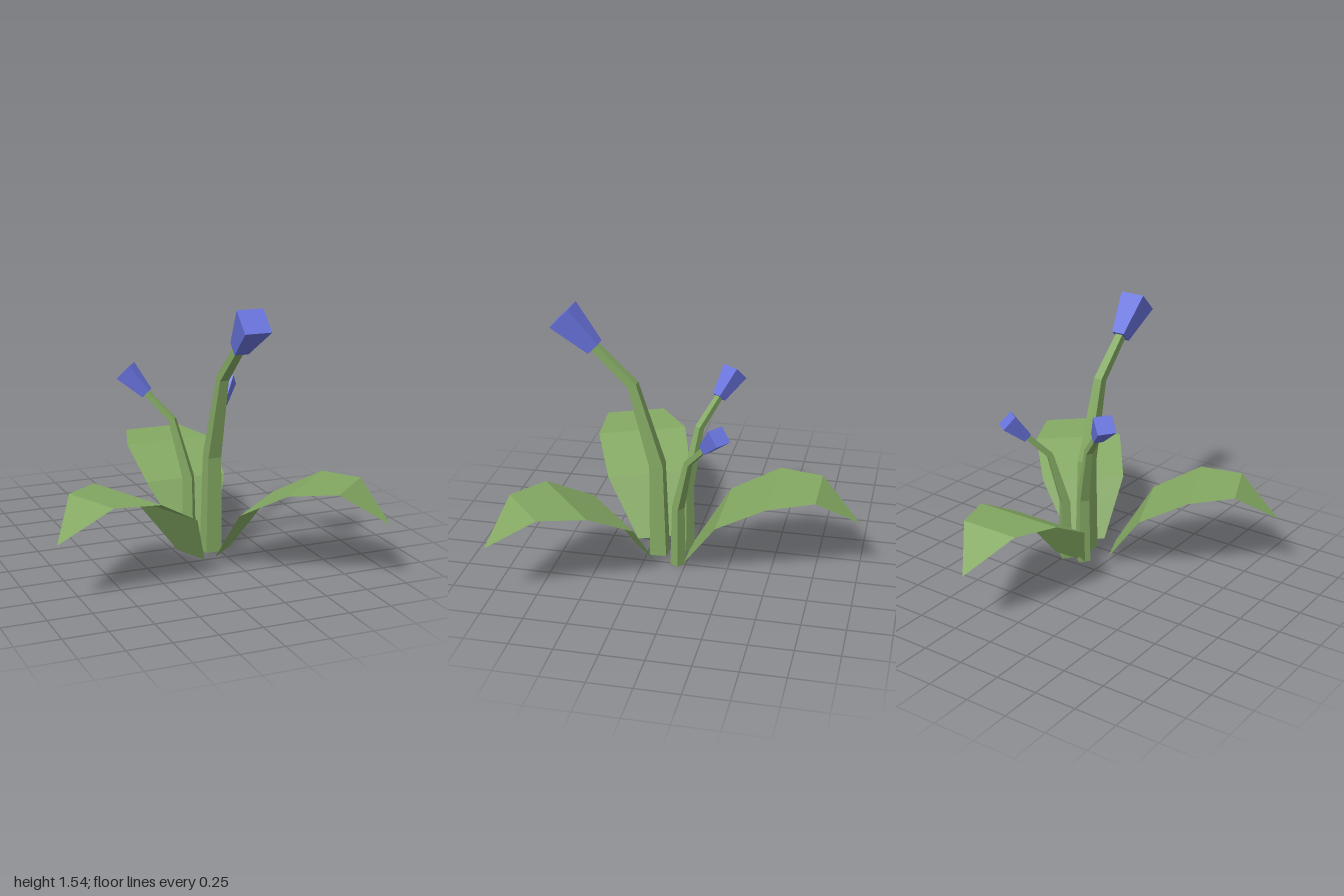
import * as THREE from 'three';

const green = new THREE.MeshStandardMaterial({ color: 0x83a862, flatShading: true });
green.name = 'leaf green';
const leafGreen = green.clone();
leafGreen.name = 'leaf green sheet';
leafGreen.side = THREE.DoubleSide;
const blue = new THREE.MeshStandardMaterial({ color: 0x6873dc, flatShading: true });
blue.name = 'petal blue';

function makeGeometry(positions, index) {
  const indexed = new THREE.BufferGeometry();
  indexed.setAttribute('position', new THREE.Float32BufferAttribute(positions, 3));
  indexed.setIndex(index);
  const g = indexed.toNonIndexed();
  g.computeVertexNormals();
  return g;
}

// Capped square tube; each ring is [z, y, half width, lean in degrees towards +z]
function squareLoft(rings) {
  const pos = [], index = [];
  for (const [z, y, h, lean] of rings) {
    const a = THREE.MathUtils.degToRad(lean);
    for (const [u, v] of [[1, 1], [1, -1], [-1, -1], [-1, 1]]) {
      pos.push(u * h, y - v * h * Math.sin(a), z + v * h * Math.cos(a));
    }
  }
  for (let r = 0; r < rings.length - 1; r++) {
    for (let k = 0; k < 4; k++) {
      const a = r * 4 + k, b = r * 4 + (k + 1) % 4;
      index.push(a, b, b + 4, a, b + 4, a + 4);
    }
  }
  const t = (rings.length - 1) * 4;
  index.push(2, 1, 0, 3, 2, 0, t, t + 1, t + 2, t, t + 2, t + 3);
  return makeGeometry(pos, index);
}

// Arched sheet; each row is [z, y, half width], ending in a pointed tip
function leafSheet(rows) {
  const pos = [], index = [];
  for (const [z, y, w] of rows) pos.push(-w, y, z, w, y, z);
  for (let r = 0; r < rows.length - 1; r++) {
    const a = r * 2;
    index.push(a, a + 2, a + 1);
    if (r < rows.length - 2) index.push(a + 1, a + 2, a + 3);
    else index[index.length - 1] = a + 1;
  }
  return makeGeometry(pos, index);
}

export function createModel() {
  const plant = new THREE.Group();
  plant.name = 'floweringPlant';

  // Leaves: base x, base z, and horizontal direction
  const leafGeometry = leafSheet([
    [0, 0.035, 0.108], [0.21, 0.36, 0.254], [0.5, 0.52, 0.27], [0.76, 0.54, 0.18], [1, 0.35, 0],
  ]);
  const leaves = [
    ['backLeaf', 0.18, 0, 0, -1],
    ['frontRightLeaf', 0.03, 0.23, -0.924, 0.382],
    ['frontLeftLeaf', 0.226, 0.243, 0.664, 0.747],
  ];
  for (const [name, x, z, dx, dz] of leaves) {
    const leaf = new THREE.Mesh(leafGeometry, leafGreen);
    leaf.name = name;
    leaf.position.set(x, 0, z);
    leaf.rotation.y = Math.atan2(dx, dz);
    plant.add(leaf);
  }

  // Flowers: bent square stem with a flared blossom
  const stemGeometry = squareLoft([
    [0, 0, 0.049, 0], [0.008, 0.577, 0.04, 7], [0.145, 1.062, 0.027, 22], [0.362, 1.275, 0.023, 45],
  ]);
  const blossomGeometry = squareLoft([[0.36, 1.272, 0.041, 45], [0.54, 1.452, 0.078, 45]]);
  const flowers = [
    ['frontFlower', 0.18, 0.028, 0.17, 0, 1, 1],
    ['backRightFlower', 0.103, 0.03, 0.025, -0.81, -0.587, 0.71],
    ['backLeftFlower', 0.245, 0, 0.046, 0.6, -0.8, 0.65],
  ];
  for (const [name, x, y, z, dx, dz, size] of flowers) {
    const flower = new THREE.Group();
    flower.name = name;
    const stem = new THREE.Mesh(stemGeometry, green);
    stem.name = 'stem';
    const blossom = new THREE.Mesh(blossomGeometry, blue);
    blossom.name = 'blossom';
    flower.add(stem, blossom);
    flower.position.set(x, y, z);
    flower.rotation.y = Math.atan2(dx, dz);
    flower.scale.setScalar(size);
    plant.add(flower);
  }
  return plant;
}
